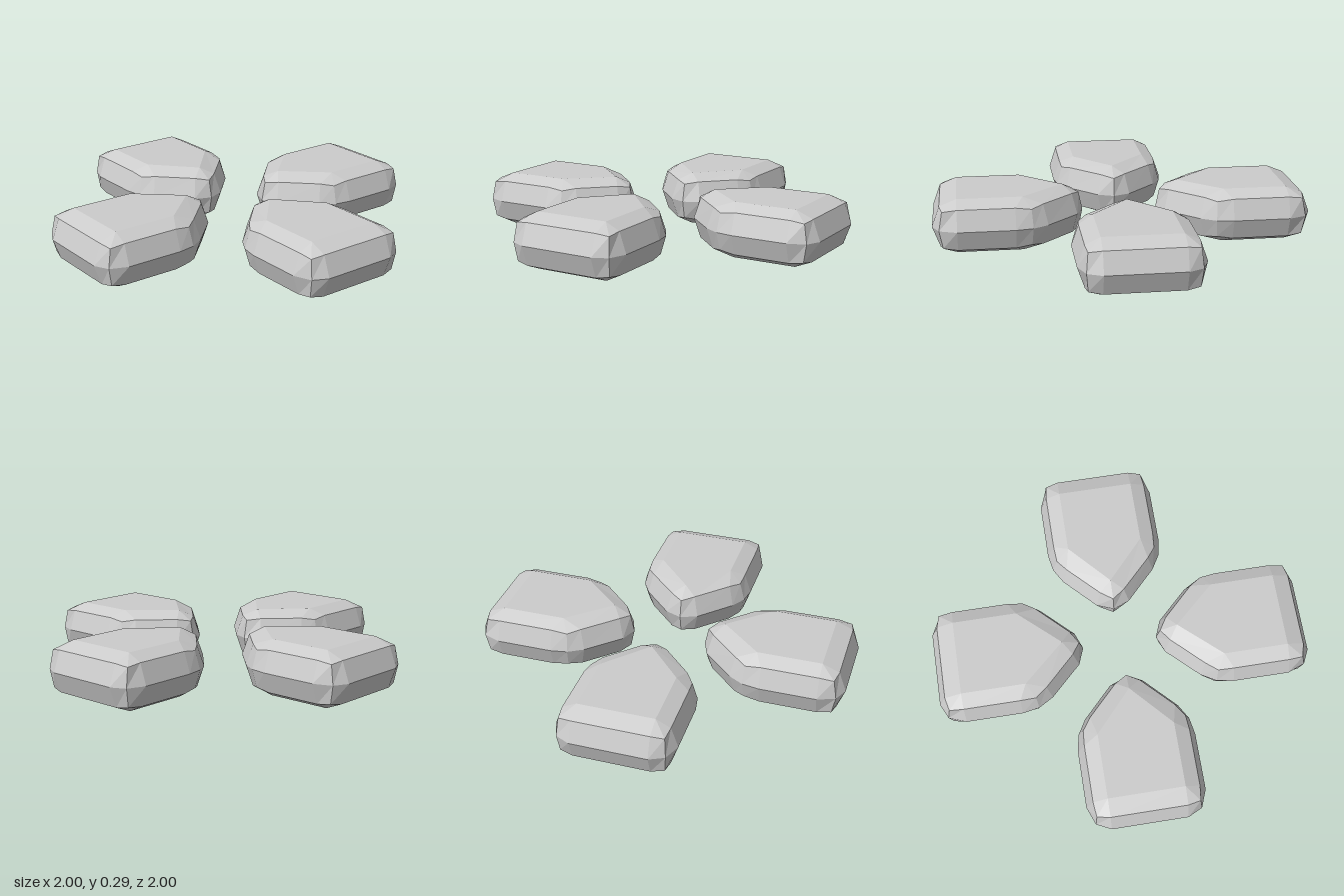
import * as THREE from 'three';

const MID = 0.145; // height of the widest section

// Half outlines [x, z, height above the middle], from the outer end to the inner tip.
// Every corner has three points so that it rounds over in two steps.
const PLATEAU = [
  [0.2, 0.87, 0.145], [0.2, 0.87, 0.145], [0.2, 0.87, 0.145],
  [0.2, 0.53, 0.145], [0.2, 0.53, 0.145], [0.2, 0.53, 0.145],
  [0, 0.31, 0.145], [0, 0.31, 0.145],
];
const SHOULDER = [
  [0.2, 0.96, 0.108], [0.268, 0.945, 0.098], [0.276, 0.87, 0.108],
  [0.276, 0.57, 0.108], [0.27, 0.487, 0.096], [0.225, 0.425, 0.108],
  [0.065, 0.262, 0.108], [0, 0.22, 0.096],
];
const GIRTH = [
  [0.2, 1, 0], [0.277, 0.963, 0], [0.313, 0.87, 0],
  [0.313, 0.57, 0], [0.297, 0.48, 0], [0.25, 0.4, 0],
  [0.09, 0.235, 0], [0, 0.2, 0],
];

// Mirror a half outline into a full ring, above (1) or below (-1) the middle
function fullRing(half, side) {
  const mirrored = half.slice(0, -1).reverse().map(([x, z, h]) => [-x, z, h]);
  return [...half, ...mirrored].map(([x, z, h]) => new THREE.Vector3(x, MID + side * h, z));
}

// Five-sided rounded pad lofted through five rings
function padGeometry() {
  const rings = [
    fullRing(PLATEAU, -1), fullRing(SHOULDER, -1), fullRing(GIRTH, 1),
    fullRing(SHOULDER, 1), fullRing(PLATEAU, 1),
  ];
  const points = [];
  const triangle = (a, b, c) => {
    if (a.equals(b) || b.equals(c) || c.equals(a)) return; // collapsed corner
    points.push(a, b, c);
  };
  const n = rings[0].length;
  // Sides
  for (let r = 0; r < rings.length - 1; r++) {
    const low = rings[r], high = rings[r + 1];
    for (let i = 0; i < n; i++) {
      const j = (i + 1) % n;
      triangle(low[i], low[j], high[j]);
      triangle(low[i], high[j], high[i]);
    }
  }
  // Flat underside and top
  const bottom = rings[0], top = rings[rings.length - 1];
  for (let i = 1; i < n - 1; i++) {
    triangle(bottom[0], bottom[i + 1], bottom[i]);
    triangle(top[0], top[i], top[i + 1]);
  }
  const geometry = new THREE.BufferGeometry().setFromPoints(points);
  geometry.computeVertexNormals();
  return geometry;
}

export function createModel() {
  const group = new THREE.Group();
  group.name = 'directionalPad';
  const geometry = padGeometry();
  const material = new THREE.MeshStandardMaterial({ color: 0xcccccc, flatShading: true });

  // Four pads pointing at the centre
  ['frontButton', 'leftButton', 'backButton', 'rightButton'].forEach((name, i) => {
    const button = new THREE.Mesh(geometry, material);
    button.name = name;
    button.rotation.y = i * Math.PI / 2;
    group.add(button);
  });
  return group;
}
